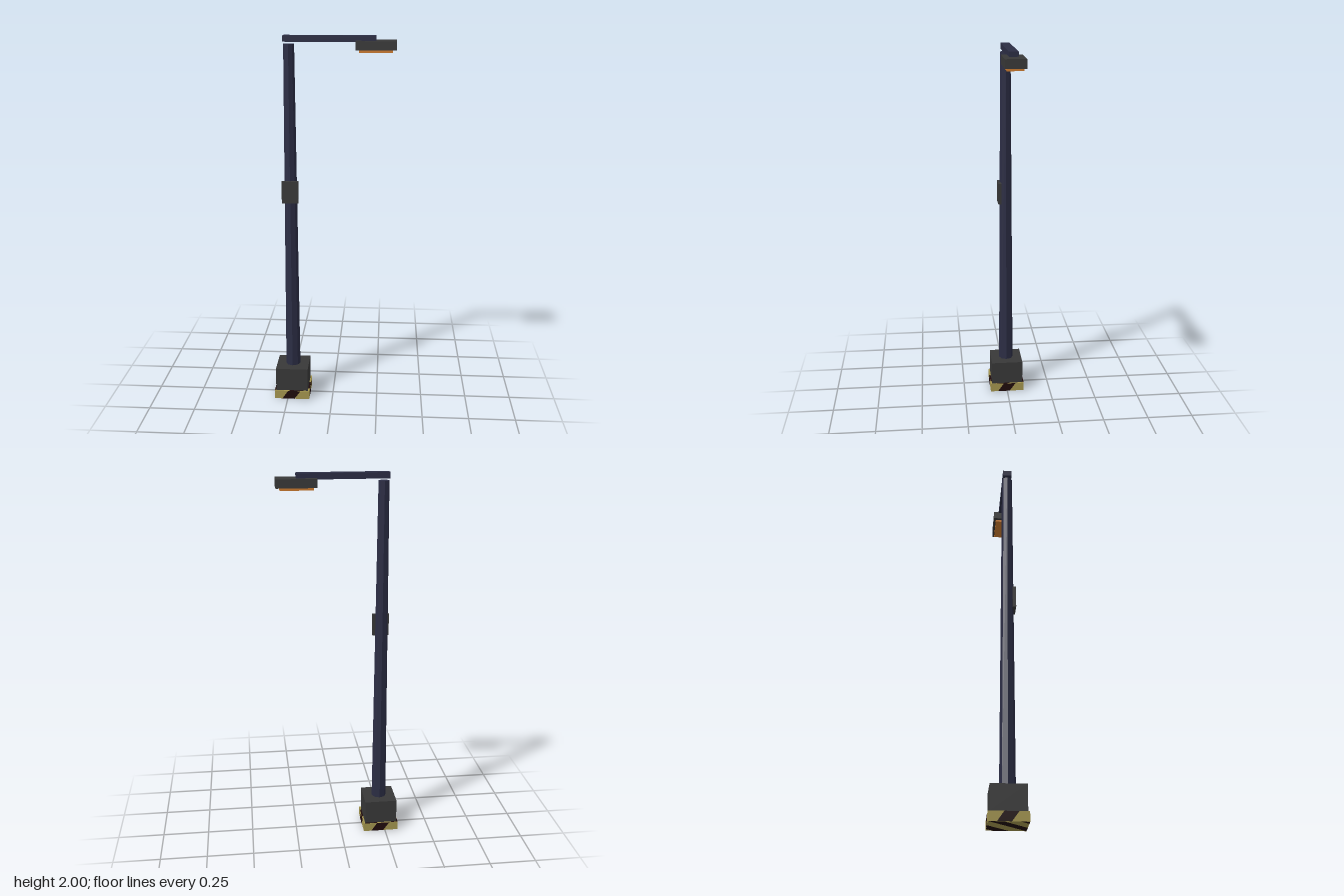
import * as THREE from 'three';

export function createModel() {
  const model = new THREE.Group();
  const mat = (name, color) => {
    const m = new THREE.MeshStandardMaterial({ color });
    m.name = name;
    return m;
  };
  const grey = mat('darkGrey', 0x383838);
  const navy = mat('navy', 0x2b2d44);
  const yellow = mat('hazardYellow', 0xa3954e);
  const dark = mat('hazardDark', 0x1f0b0c);
  const amber = mat('amberLens', 0xcc7a2e);

  const add = (name, geometry, material, parent = model) => {
    const mesh = new THREE.Mesh(geometry, material);
    mesh.name = name;
    parent.add(mesh);
    return mesh;
  };
  // Box given by its limits on each axis
  const box = (name, material, [x0, x1], [y0, y1], [z0, z1]) =>
    add(name, new THREE.BoxGeometry(x1 - x0, y1 - y0, z1 - z0), material)
      .position.set((x0 + x1) / 2, (y0 + y1) / 2, (z0 + z1) / 2);

  const poleX = -0.226, W = 0.194, H = 0.048;

  // Footing: painted kerb and concrete block
  box('hazardKerb', yellow, [poleX - W / 2, poleX + W / 2], [0, H], [-W / 2, W / 2]);
  box('footingBlock', grey, [poleX - 0.089, poleX + 0.089], [H, 0.179], [-0.089, 0.089]);

  // Hazard stripes, as flat shapes just off the kerb faces
  const stripes = new THREE.Group();
  stripes.name = 'hazardStripes';
  stripes.position.set(poleX, H / 2, 0);
  model.add(stripes);
  const stripeShape = (points) =>
    new THREE.ShapeGeometry(new THREE.Shape(points.map(([x, y]) => new THREE.Vector2(x, y))));

  // Diagonal bands across the top and underside
  const cut = (t) => [Math.min(t, 1), Math.max(t - 1, 0)];
  for (const [a, b] of [[0.01, 0.21], [0.62, 0.98], [1.41, 1.8]]) {
    const [p, q] = cut(a), [r, s] = cut(b);
    const corners = [[p, q], [r, s], [s, r], [q, p]]
      .map(([u, w]) => [(u - 0.5) * W, (0.5 - w) * W]);
    for (const side of [1, -1]) {
      const g = stripeShape(corners);
      g.rotateX(-side * Math.PI / 2);
      g.translate(0, side * (H / 2 + 0.0008), 0);
      add(side > 0 ? 'topStripe' : 'undersideStripe', g, dark, stripes);
    }
  }
  // One slanted band on each of the four sides
  for (let i = 0; i < 4; i++) {
    const g = stripeShape([[0.22, 0], [0.57, 0], [0.75, 1], [0.39, 1]]
      .map(([u, v]) => [(u - 0.5) * W, (v - 0.5) * H]));
    g.translate(0, 0, W / 2 + 0.0008);
    g.rotateY(i * Math.PI / 2);
    add('sideStripe', g, dark, stripes);
  }

  // Tapered eight-sided pole with flat facets
  const poleGeo = new THREE.CylinderGeometry(0.028, 0.04, 1.779, 8).toNonIndexed();
  poleGeo.computeVertexNormals();
  add('pole', poleGeo, navy).position.set(poleX, 0.178 + 1.779 / 2, 0);

  // Control box on the front of the pole
  box('controlBox', grey, [-0.27, -0.182], [1.13, 1.248], [0.026, 0.044]);

  // Arm, lamp head and lens
  box('arm', navy, [-0.255, 0.219], [1.969, 2], [-0.024, 0.024]);
  box('lampHead', grey, [0.115, 0.322], [1.931, 1.976], [-0.053, 0.053]);
  box('lampLens', amber, [0.132, 0.302], [1.918, 1.932], [-0.042, 0.042]);

  return model;
}
